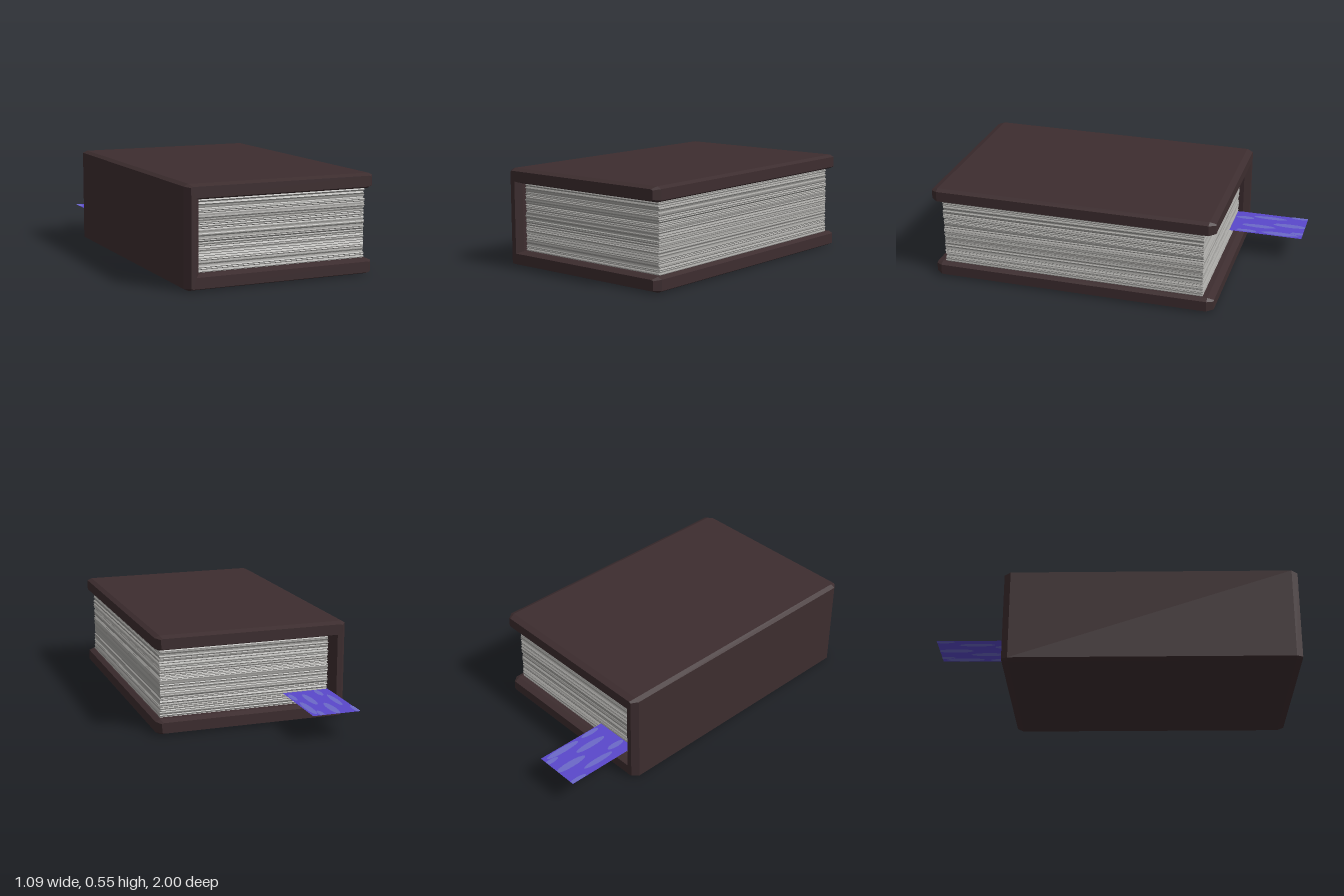
import * as THREE from 'three';

const material = (name, color, side = THREE.FrontSide) => {
  const m = new THREE.MeshStandardMaterial({ color, side });
  m.name = name;
  return m;
};

function addMesh(parent, name, geometry, mat) {
  const mesh = new THREE.Mesh(geometry, mat);
  mesh.name = name;
  parent.add(mesh);
  return mesh;
}

// Small seeded generator for the uneven paper edges
function seeded(seed) {
  return () => {
    seed = (seed * 16807) % 2147483647;
    return seed / 2147483647;
  };
}

// C-shaped cover: chamfered profile, bevelled at both ends, stretched along x and z
function coverGeometry() {
  const bevel = 0.012, sx = 2.2, sz = 3;
  const W = 0.545, H = 0.545, c = 0.012, cx = c * sx;
  const inX = -0.463, low = 0.083, high = 0.463;
  const outline = [
    [-W + cx, 0], [W - cx, 0], [W, c], [W, low - c], [W - cx, low],
    [inX, low], [inX, high],
    [W - cx, high], [W, high + c], [W, H - c], [W - cx, H],
    [-W + cx, H], [-W, H - c], [-W, c],
  ].map(([x, y]) => new THREE.Vector2(x / sx, y));
  const length = 1.635 / sz;
  const g = new THREE.ExtrudeGeometry(new THREE.Shape(outline), {
    depth: length - 2 * bevel, bevelEnabled: true, bevelSegments: 1,
    bevelSize: bevel, bevelOffset: -bevel, bevelThickness: bevel,
  });
  g.translate(0, 0, bevel);
  g.scale(sx, 1, sz);
  g.translate(0, 0, -0.635);
  g.computeVertexNormals();
  return g;
}

// Paper block: stacked rectangles whose edges shift slightly from layer to layer
function pagesGeometry() {
  const rnd = seeded(77), layers = 90, pos = [];
  const y0 = 0.08, y1 = 0.466;
  const rings = [];
  for (let i = 0; i <= layers; i++) {
    const y = y0 + (y1 - y0) * i / layers;
    const j = () => (rnd() - 0.5) * 0.009;
    const x0 = -0.461 + j(), x1 = 0.51 + j(), z0 = -0.57 + j(), z1 = 0.944 + j();
    rings.push([[x0, y, z1], [x1, y, z1], [x1, y, z0], [x0, y, z0]]);
  }
  const quad = (a, b, c, d) => pos.push(...a, ...b, ...c, ...a, ...c, ...d);
  for (let i = 0; i < layers; i++) {
    for (let k = 0; k < 4; k++) {
      const n = (k + 1) % 4;
      quad(rings[i][k], rings[i][n], rings[i + 1][n], rings[i + 1][k]);
    }
  }
  quad(...rings[layers]);
  quad(...[...rings[0]].reverse());
  const g = new THREE.BufferGeometry();
  g.setAttribute('position', new THREE.Float32BufferAttribute(pos, 3));
  g.computeVertexNormals();
  return g;
}

// Flat horizontal streak, trimmed to the ribbon outline
function streakGeometry(x, z, w, l, y, facing) {
  const g = new THREE.CircleGeometry(1, 16);
  g.rotateX(-facing * Math.PI / 2);
  g.scale(w / 2, 1, l / 2);
  g.translate(x, y, z);
  const p = g.attributes.position;
  for (let i = 0; i < p.count; i++) {
    p.setX(i, THREE.MathUtils.clamp(p.getX(i), -0.465, -0.195));
    p.setZ(i, Math.max(p.getZ(i), -1));
  }
  return g;
}

export function createModel() {
  const leather = material('dark brown leather', 0x3d2d2f);
  const paper = material('grey paper', 0xa3a29f);
  const purple = material('purple ribbon', 0x5a48cc, THREE.DoubleSide);
  const lilac = material('pale blue streaks', 0x6c69c8);

  const book = new THREE.Group();
  book.name = 'book';
  addMesh(book, 'cover', coverGeometry(), leather);
  addMesh(book, 'pages', pagesGeometry(), paper);

  // Bookmark sticking out of the back end
  const bookmark = new THREE.Group();
  bookmark.name = 'bookmark';
  book.add(bookmark);
  const y = 0.15;
  const ribbon = new THREE.PlaneGeometry(0.27, 0.45);
  ribbon.rotateX(-Math.PI / 2);
  ribbon.translate(-0.33, y, -0.775);
  addMesh(bookmark, 'ribbon', ribbon, purple);

  // Streaks: x, z, width, length
  const streaks = [
    [-0.415, -0.78, 0.035, 0.2], [-0.34, -0.91, 0.045, 0.2], [-0.29, -0.73, 0.04, 0.2],
    [-0.222, -0.87, 0.04, 0.22], [-0.25, -0.98, 0.03, 0.11], [-0.455, -0.96, 0.03, 0.12],
    [-0.385, -0.63, 0.035, 0.11], [-0.215, -0.67, 0.03, 0.12],
  ];
  for (const [x, z, w, l] of streaks) {
    for (const facing of [1, -1]) {
      addMesh(bookmark, 'streak', streakGeometry(x, z, w, l, y + facing * 0.002, facing), lilac);
    }
  }
  return book;
}
